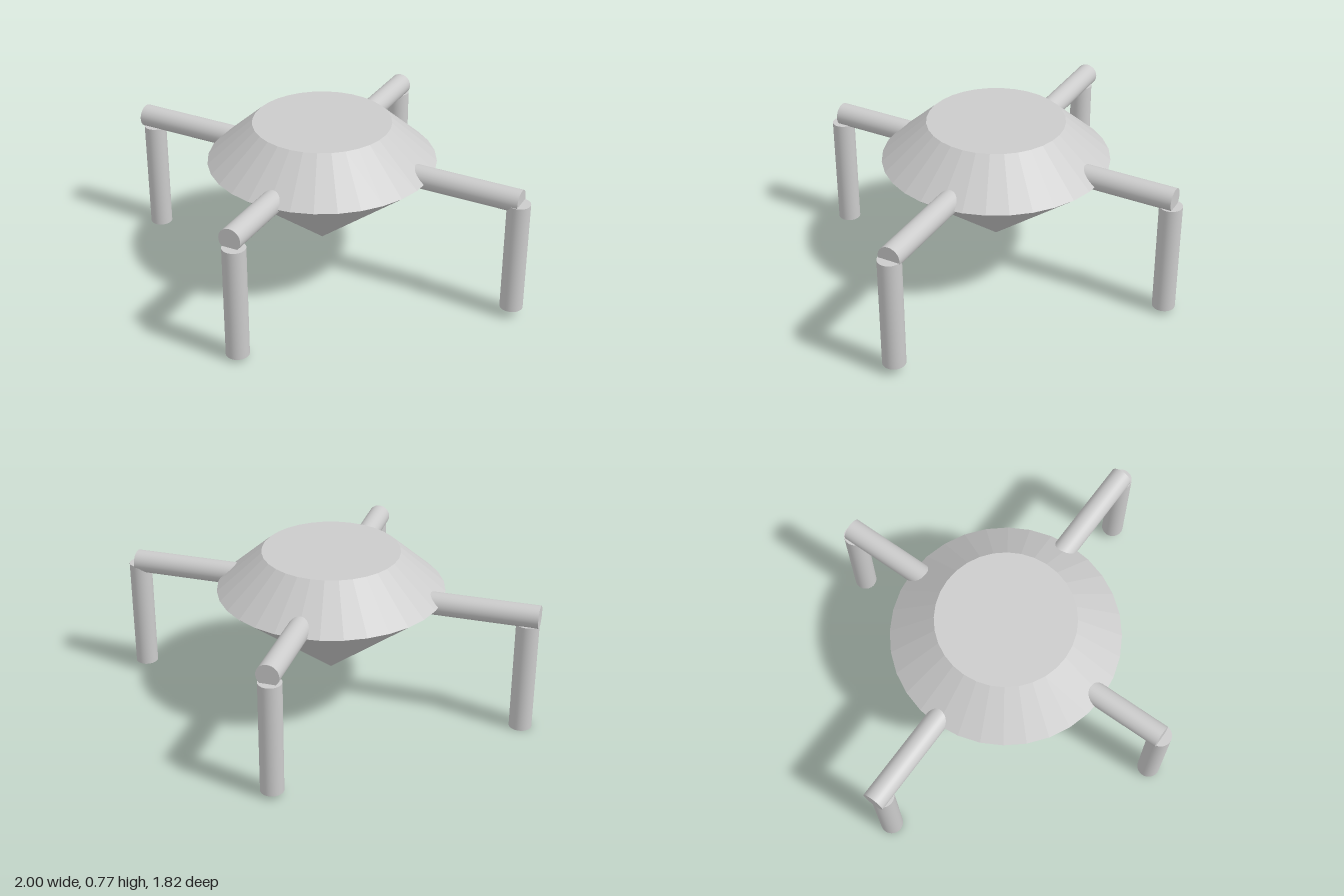
import * as THREE from 'three';

const smooth = new THREE.MeshStandardMaterial({ color: 0xcccccc });
const faceted = new THREE.MeshStandardMaterial({ color: 0xcccccc, flatShading: true });
const ROD_RADIUS = 0.053;
const UP = new THREE.Vector3(0, 1, 0);

// Round rod with flat ends running between two points
function rod(name, from, to) {
  const a = new THREE.Vector3(...from);
  const b = new THREE.Vector3(...to);
  const mesh = new THREE.Mesh(
    new THREE.CylinderGeometry(ROD_RADIUS, ROD_RADIUS, a.distanceTo(b), 32), smooth);
  mesh.position.copy(a).add(b).multiplyScalar(0.5);
  mesh.quaternion.setFromUnitVectors(UP, b.clone().sub(a).normalize());
  mesh.name = name;
  return mesh;
}

// Each leg: slightly tilted arm (inner to outer end) and an upright post (foot to top)
const LEGS = [
  { name: 'leftLeg', arm: [[0.415, 0.593, 0.003], [0.955, 0.588, 0.013]], post: [0.946, 0.04, 0.016], top: 0.577 },
  { name: 'rightLeg', arm: [[-0.46, 0.577, 0.001], [-1, 0.582, -0.008]], post: [-0.947, 0, 0], top: 0.54 },
  { name: 'frontLeg', arm: [[-0.022, 0.586, 0.33], [-0.026, 0.593, 0.87]], post: [-0.012, 0.016, 0.859], top: 0.556 },
  { name: 'backLeg', arm: [[-0.014, 0.602, -0.335], [-0.008, 0.596, -0.875]], post: [-0.012, 0.02, -0.857], top: 0.558 },
];

export function createModel() {
  const model = new THREE.Group();
  model.name = 'gemBodyWalker';

  // Gem-shaped body: pointed underside, wide girdle, flat top
  const profile = [[0, 0.155], [0.533, 0.585], [0.322, 0.772], [0, 0.772]]
    .map(([r, y]) => new THREE.Vector2(r, y));
  const body = new THREE.Mesh(new THREE.LatheGeometry(profile, 32), faceted);
  body.position.set(-0.0175, 0, 0.0175);
  body.name = 'body';
  model.add(body);

  // Four legs around the body
  for (const { name, arm, post: [x, y, z], top } of LEGS) {
    const leg = new THREE.Group();
    leg.name = name;
    leg.add(rod('arm', ...arm), rod('post', [x, y, z], [x, top, z]));
    model.add(leg);
  }
  return model;
}
